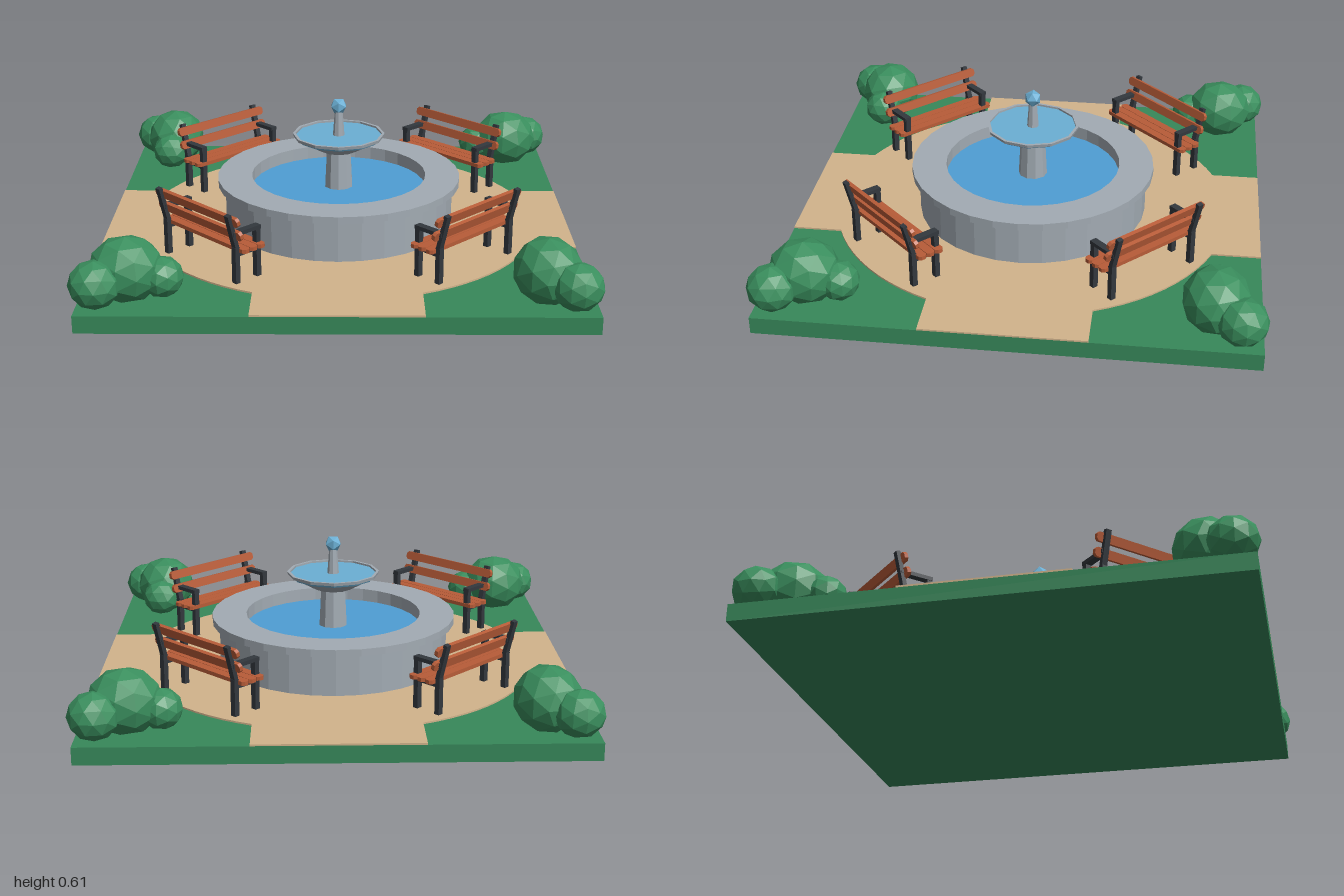
import * as THREE from 'three';

const mat = (name, color, flatShading = false) => {
  const m = new THREE.MeshStandardMaterial({ color, flatShading });
  m.name = name;
  return m;
};

export function createModel() {
  const model = new THREE.Group();
  model.name = 'fountainPlaza';
  const grass = mat('grass green', 0x37885a);
  const leaf = mat('bush green', 0x3a8f5e, true);
  const sand = mat('path tan', 0xd2b48c);
  const stone = mat('stone grey', 0xa2abb3, true);
  const water = mat('pool blue', 0x4f9ed4);
  const paleWater = mat('pale water blue', 0x6bafd4, true);
  const wood = mat('bench wood', 0xb85c38);
  const iron = mat('dark iron', 0x33383e);

  const add = (parent, name, geometry, material, x = 0, y = 0, z = 0) => {
    const mesh = new THREE.Mesh(geometry, material);
    mesh.name = name;
    mesh.position.set(x, y, z);
    parent.add(mesh);
    return mesh;
  };
  const lathe = (points, sides) =>
    new THREE.LatheGeometry(points.map(([r, y]) => new THREE.Vector2(r, y)), sides);

  // Lawn slab
  add(model, 'lawn', new THREE.BoxGeometry(1.95, 0.07, 1.95), grass, 0, 0.035, 0);

  // Path: a cross merged with a round plaza
  const half = 0.325, edge = 0.975, radius = 0.84;
  const a = Math.asin(half / radius);
  const path = new THREE.Shape();
  for (let i = 0; i < 4; i++) {
    const t = (i * Math.PI) / 2, c = Math.cos(t), s = Math.sin(t);
    const corner = (x, y) => [x * c - y * s, x * s + y * c];
    if (i === 0) path.moveTo(...corner(edge, -half));
    else path.lineTo(...corner(edge, -half));
    path.lineTo(...corner(edge, half));
    for (let k = 0; k <= 10; k++) {
      const u = t + a + (k / 10) * (Math.PI / 2 - 2 * a);
      path.lineTo(radius * Math.cos(u), radius * Math.sin(u));
    }
  }
  const pathGeo = new THREE.ExtrudeGeometry(path, { depth: 0.007, bevelEnabled: false });
  pathGeo.rotateX(-Math.PI / 2);
  add(model, 'path', pathGeo, sand, 0, 0.07, 0);

  // Fountain
  const fountain = new THREE.Group();
  fountain.name = 'fountain';
  model.add(fountain);
  add(fountain, 'basin', lathe([
    [0.485, 0.075], [0.485, 0.25], [0.515, 0.25], [0.515, 0.28], [0.37, 0.28], [0.37, 0.19],
  ], 32), stone);
  const pool = new THREE.CircleGeometry(0.375, 32);
  pool.rotateX(-Math.PI / 2);
  add(fountain, 'poolWater', pool, water, 0, 0.225, 0);
  add(fountain, 'pedestal', new THREE.CylinderGeometry(0.052, 0.062, 0.2, 10), stone, 0, 0.3, 0);
  add(fountain, 'bowl', lathe([[0, 0.388], [0.08, 0.388], [0.165, 0.436], [0, 0.436]], 12), stone);
  add(fountain, 'bowlWater', new THREE.CylinderGeometry(0.185, 0.175, 0.016, 12), paleWater, 0, 0.444, 0);
  add(fountain, 'bowlRim', lathe([
    [0.183, 0.447], [0.192, 0.447], [0.195, 0.46], [0.183, 0.46], [0.183, 0.447],
  ], 12), stone);
  add(fountain, 'spout', new THREE.CylinderGeometry(0.017, 0.025, 0.11, 8), stone, 0, 0.5, 0);
  add(fountain, 'waterBall', new THREE.IcosahedronGeometry(0.036, 0), paleWater, 0, 0.58, 0);

  // Slat with clipped corners, lying flat along x
  const slat = new THREE.Shape();
  const L = 0.25, W = 0.0185, q = 0.01;
  [[-L, -W + q], [-L + q, -W], [L - q, -W], [L, -W + q],
    [L, W - q], [L - q, W], [-L + q, W], [-L, W - q]]
    .forEach(([x, y], i) => (i ? slat.lineTo(x, y) : slat.moveTo(x, y)));
  const slatGeo = new THREE.ExtrudeGeometry(slat, { depth: 0.016, bevelEnabled: false });
  slatGeo.translate(0, 0, -0.008);

  // Bench: z is the distance outward from the fountain
  const makeBench = () => {
    const bench = new THREE.Group();
    bench.name = 'bench';
    for (const z of [0.658, 0.697, 0.736]) {
      add(bench, 'seatSlat', slatGeo, wood, 0, 0.212, z).rotation.x = -Math.PI / 2;
    }
    const lean = 0.25;
    add(bench, 'lowerBackSlat', slatGeo, wood, 0, 0.278, 0.762).rotation.x = lean;
    add(bench, 'upperBackSlat', slatGeo, wood, 0, 0.337, 0.777).rotation.x = lean;
    for (const x of [-0.21, 0.21]) {
      add(bench, 'frontLeg', new THREE.BoxGeometry(0.024, 0.21, 0.022), iron, x, 0.18, 0.655);
      add(bench, 'rearLeg', new THREE.BoxGeometry(0.024, 0.15, 0.022), iron, x, 0.15, 0.762);
      add(bench, 'backPost', new THREE.BoxGeometry(0.024, 0.16, 0.018), iron, x, 0.287, 0.778).rotation.x = lean;
      add(bench, 'armrest', new THREE.BoxGeometry(0.03, 0.016, 0.135), iron, x, 0.282, 0.712);
      add(bench, 'seatSupport', new THREE.BoxGeometry(0.022, 0.016, 0.11), iron, x, 0.196, 0.708);
    }
    return bench;
  };

  // Bush cluster: x, y, z, then radii
  const clumps = [
    [-0.795, 0.18, 0.79, 0.145, 0.13, 0.133],
    [-0.9, 0.16, 0.89, 0.1, 0.093, 0.1],
    [-0.66, 0.153, 0.8, 0.083, 0.08, 0.085],
  ];
  const makeBushes = () => {
    const bushes = new THREE.Group();
    bushes.name = 'bushCluster';
    clumps.forEach(([x, y, z, rx, ry, rz], i) => {
      const geo = new THREE.IcosahedronGeometry(1, 1);
      geo.rotateY(i * 1.3 + 0.4);
      geo.scale(rx, ry, rz);
      add(bushes, 'bush', geo, leaf, x, y, z);
    });
    return bushes;
  };

  // One bench and one bush cluster per corner
  for (let i = 0; i < 4; i++) {
    const bench = makeBench();
    bench.rotation.y = Math.PI / 4 + (i * Math.PI) / 2;
    const bushes = makeBushes();
    bushes.rotation.y = (-i * Math.PI) / 2;
    model.add(bench, bushes);
  }
  return model;
}
